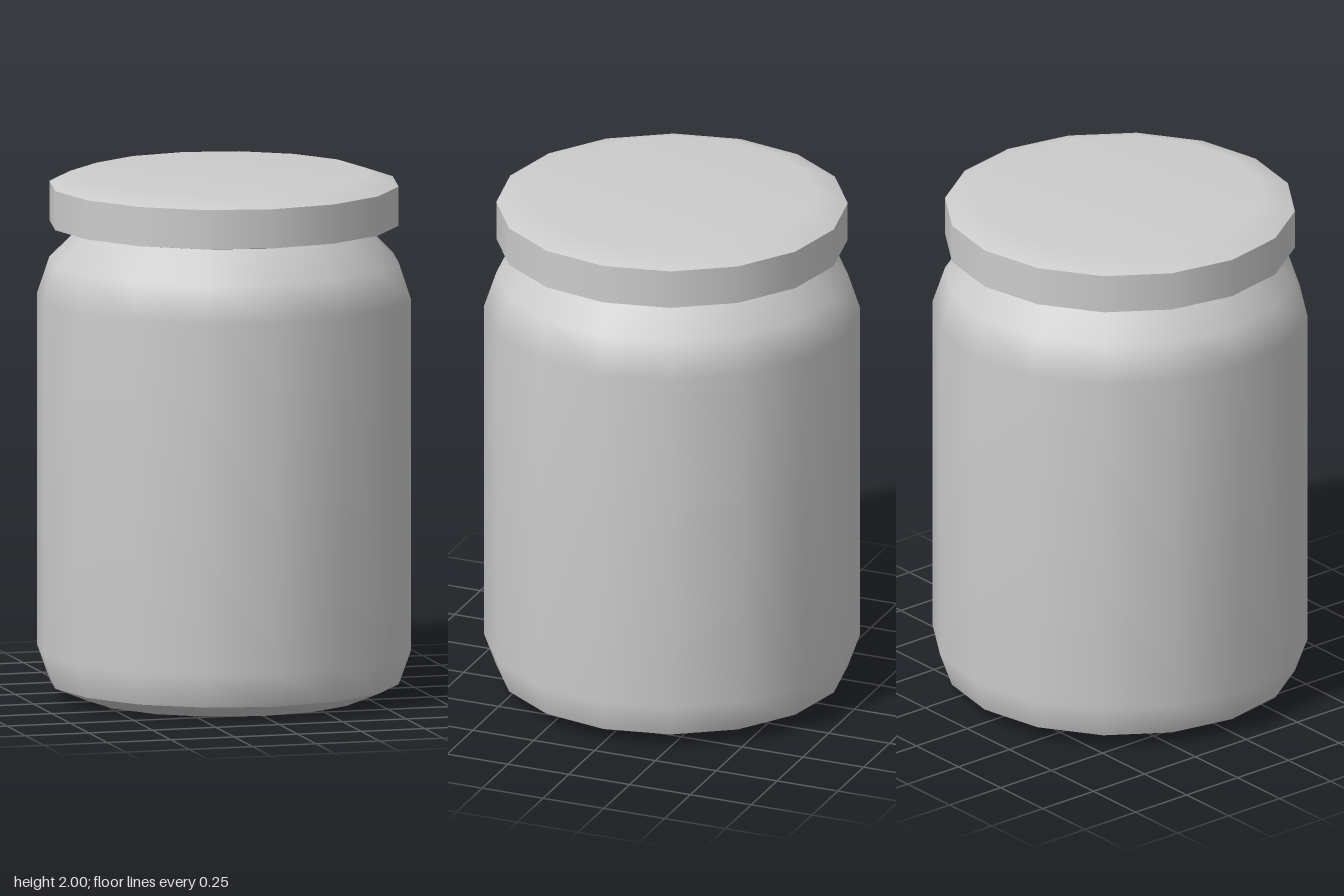
import * as THREE from 'three';

const SIDES = 16;

export function createModel() {
  const jar = new THREE.Group();
  jar.name = 'jar';
  const grey = new THREE.MeshStandardMaterial({ color: 0xcccccc });
  grey.name = 'plain grey';

  // Each part is a stack of smooth bands; the joins between bands stay sharp.
  function turned(name, bands) {
    const part = new THREE.Group();
    part.name = name;
    for (const [bandName, profile] of Object.entries(bands)) {
      const points = profile.map(([r, y]) => new THREE.Vector2(r, y));
      const mesh = new THREE.Mesh(new THREE.LatheGeometry(points, SIDES), grey);
      mesh.name = bandName;
      part.add(mesh);
    }
    jar.add(part);
  }

  // Body: dished base, then wall with rounded foot and shoulder
  turned('body', {
    base: [[0, 0], [0.53, 0], [0.665, 0.055]],
    wall: [[0.665, 0.055], [0.712, 0.185], [0.712, 1.53], [0.665, 1.67], [0.54, 1.795]],
  });

  // Lid: underside, straight rim and bevelled top
  turned('lid', {
    lidUnderside: [[0, 1.79], [0.54, 1.79], [0.665, 1.81]],
    lidRim: [[0.665, 1.81], [0.665, 1.96]],
    lidTop: [[0.665, 1.96], [0.55, 2], [0, 2]],
  });

  return jar;
}
